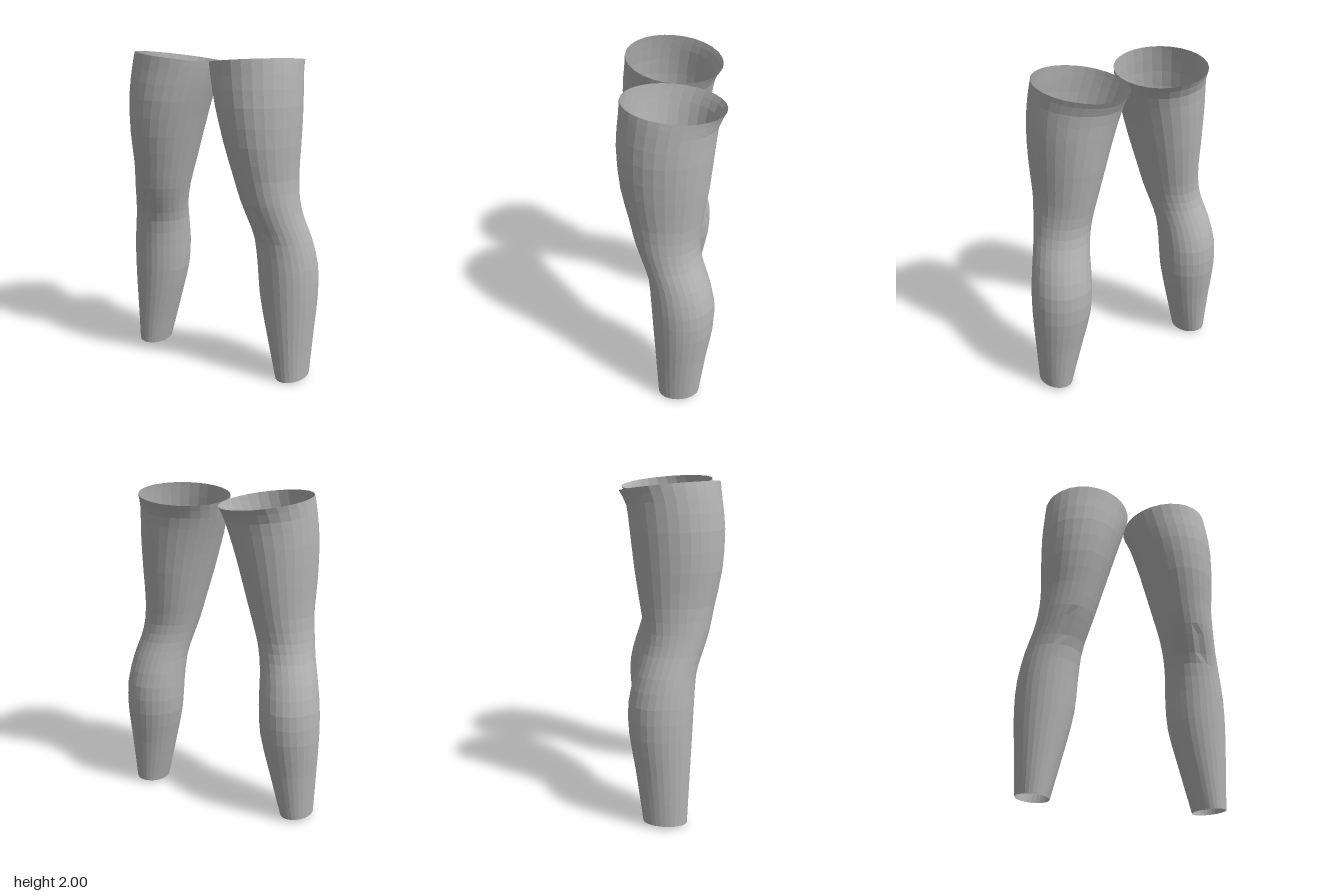
import * as THREE from 'three';

// Key cross-sections: height, inner x, outer x, back z, front z
const SECTIONS = [
  [1.965, 0.00, 0.555, -0.305, 0.280],
  [1.88, 0.022, 0.565, -0.263, 0.288],
  [1.72, 0.067, 0.577, -0.244, 0.305],
  [1.50, 0.131, 0.574, -0.220, 0.290],
  [1.30, 0.188, 0.567, -0.190, 0.247],
  [1.15, 0.230, 0.580, -0.170, 0.214],
  [1.03, 0.264, 0.603, -0.183, 0.174],
  [0.91, 0.288, 0.637, -0.220, 0.136],
  [0.74, 0.299, 0.668, -0.261, 0.122],
  [0.55, 0.313, 0.675, -0.259, 0.112],
  [0.33, 0.363, 0.664, -0.223, 0.099],
  [0.012, 0.447, 0.645, -0.180, 0.080],
];
const SIDES = 28;
const ROWS = (SECTIONS.length - 1) * 2;

// Smooth curves through two columns of the sections
const curveOf = (i, j) => new THREE.SplineCurve(SECTIONS.map((s) => new THREE.Vector2(s[i], s[j])));
const heights = curveOf(0, 0);
const widths = curveOf(1, 2);
const depths = curveOf(3, 4);

// Lofts one open leg; side is +1 for the left leg and -1 for the right
function legGeometry(side) {
  const positions = [];
  const indices = [];
  for (let row = 0; row <= ROWS; row++) {
    const t = row / ROWS;
    const y = heights.getPoint(t).x;
    const { x: inner, y: outer } = widths.getPoint(t);
    const { x: back, y: front } = depths.getPoint(t);
    // Slanted openings at the thigh and the ankle
    const thighTilt = 0.025 * THREE.MathUtils.smoothstep(y, 1.6, 1.965);
    const ankleTilt = 0.008 * (1 - THREE.MathUtils.smoothstep(y, 0.012, 0.25));
    for (let i = 0; i < SIDES; i++) {
      const a = (i / SIDES) * Math.PI * 2;
      const c = Math.cos(a);
      const s = Math.sin(a);
      const x = (inner + outer + c * (outer - inner)) / 2;
      let z = (back + front + s * (front - back)) / 2;
      // Small crease over the kneecap
      if (i === 7 && y > 0.95 && y < 1.1) z -= 0.008;
      positions.push(side * x, y + c * (thighTilt + ankleTilt) + s * (thighTilt - ankleTilt), z);
      if (row === ROWS) continue;
      const p = row * SIDES + i;
      const q = row * SIDES + (i + 1) % SIDES;
      const u = p + SIDES;
      const v = q + SIDES;
      // The mirrored leg reverses the corner order so faces point outward
      if (side > 0) indices.push(p, q, u, q, v, u);
      else indices.push(p, u, q, q, u, v);
    }
  }
  const geometry = new THREE.BufferGeometry();
  geometry.setAttribute('position', new THREE.Float32BufferAttribute(positions, 3));
  geometry.setIndex(indices);
  const faceted = geometry.toNonIndexed();
  faceted.computeVertexNormals();
  return faceted;
}

export function createModel() {
  const model = new THREE.Group();
  model.name = 'leggings';
  const fabric = new THREE.MeshStandardMaterial({ color: 0xb4b4b4, flatShading: true, side: THREE.DoubleSide });
  fabric.name = 'grey fabric';
  for (const [name, side] of [['leftLeg', 1], ['rightLeg', -1]]) {
    const leg = new THREE.Mesh(legGeometry(side), fabric);
    leg.name = name;
    model.add(leg);
  }
  return model;
}
